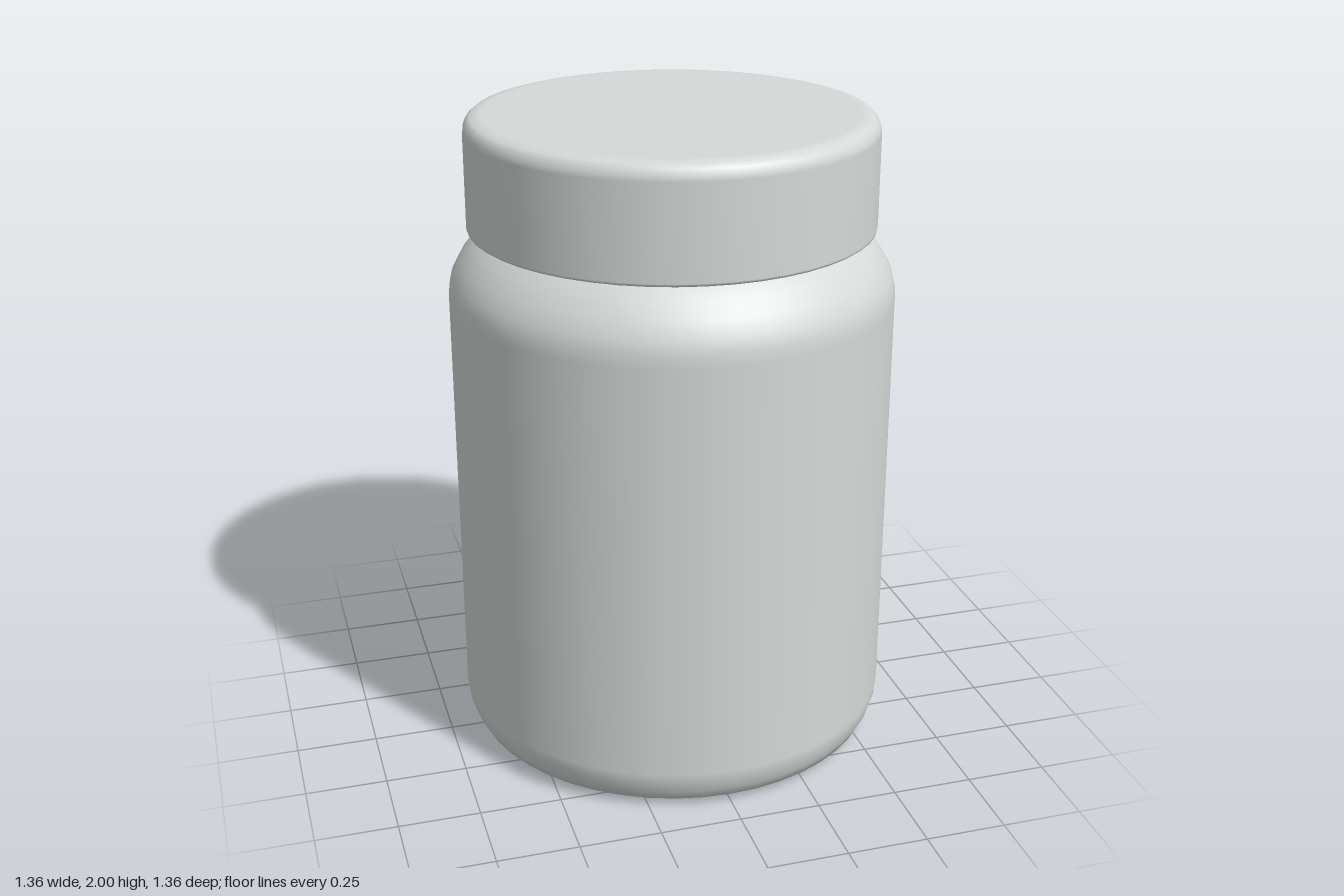
import * as THREE from 'three';

const SEGMENTS = 48;

// Revolve a profile of [radius, height] pairs, listed from the bottom up the outside
function turned(name, profile, material) {
  const points = profile.map(([r, y]) => new THREE.Vector2(r, y));
  const mesh = new THREE.Mesh(new THREE.LatheGeometry(points, SEGMENTS), material);
  mesh.name = name;
  return mesh;
}

export function createModel() {
  const plastic = new THREE.MeshStandardMaterial({ color: 0xd6d9d8 });
  plastic.name = 'pale grey plastic';

  const jar = new THREE.Group();
  jar.name = 'lidded jar';

  // Body: flat base, rounded heel, straight wall, sloping shoulder
  jar.add(turned('body', [
    [0, 0], [0.575, 0], [0.59, 0.003], [0.65, 0.025], [0.668, 0.06], [0.68, 0.1],
    [0.682, 0.13], [0.682, 1.44], [0.68, 1.48], [0.67, 1.52], [0.645, 1.565],
    [0.61, 1.61], [0.565, 1.65], [0.55, 1.655],
  ], plastic));

  // Neck rising inside the lid
  jar.add(turned('neck', [[0.55, 1.653], [0.55, 1.75]], plastic));

  // Lid: recessed underside, thin rim, straight wall, softly rounded top
  jar.add(turned('lidUnderside', [[0, 1.73], [0.594, 1.73]], plastic));
  jar.add(turned('lidInnerWall', [[0.594, 1.73], [0.594, 1.655]], plastic));
  jar.add(turned('lid', [
    [0.594, 1.655], [0.614, 1.655], [0.62, 1.659], [0.621, 1.665],
    [0.621, 1.95], [0.619, 1.965], [0.611, 1.983], [0.598, 1.994],
    [0.575, 2], [0.56, 2], [0, 2],
  ], plastic));

  return jar;
}
